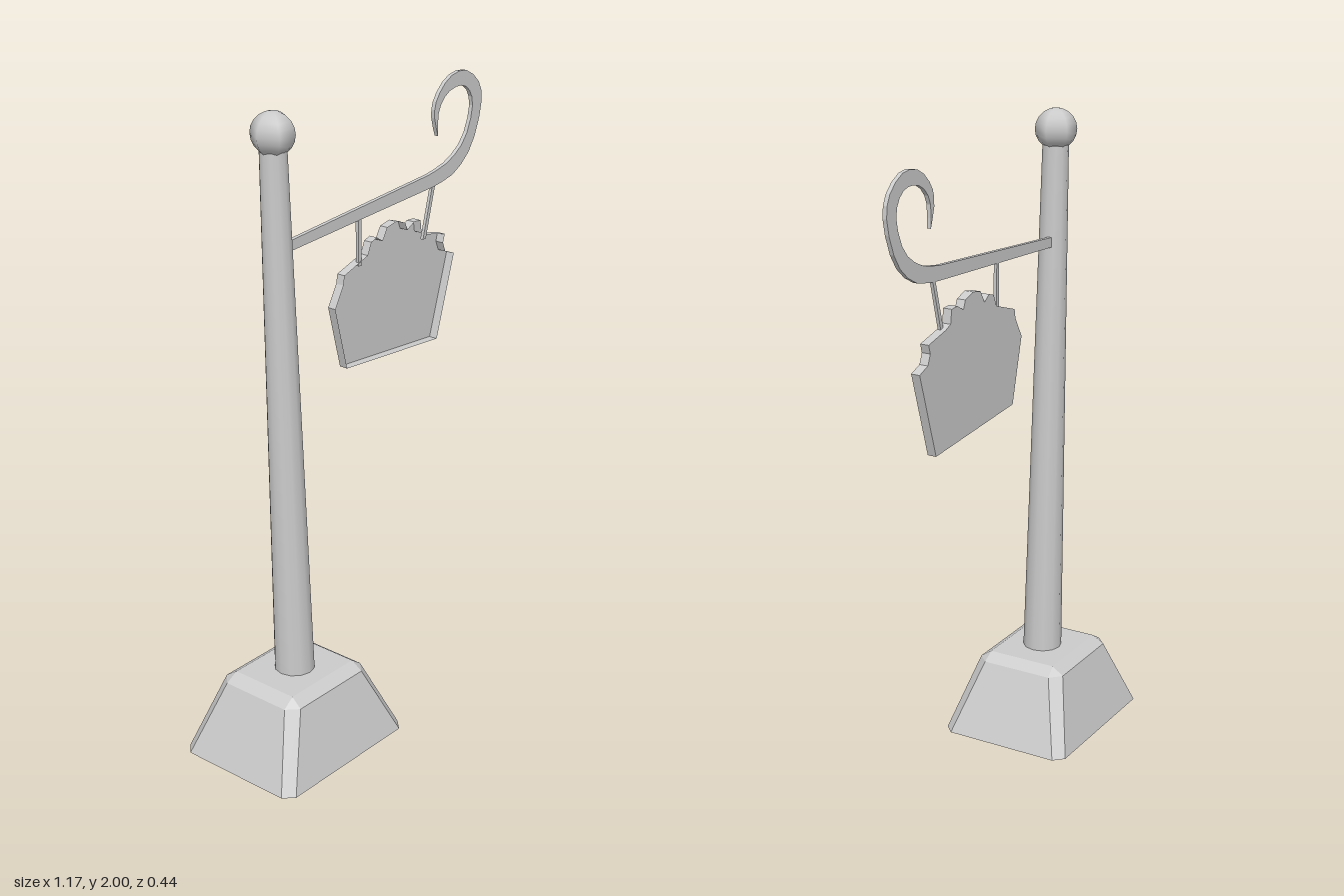
import * as THREE from 'three';

const smooth = new THREE.MeshStandardMaterial({ color: 0xcccccc });
const flat = new THREE.MeshStandardMaterial({ color: 0xcccccc, flatShading: true, side: THREE.DoubleSide });

// Joins closed rings of equal point count with quads; optionally caps the last ring.
function loft(rings, cap) {
  const out = [];
  const n = rings[0].length;
  const tri = (...points) => points.forEach((p) => out.push(...p));
  for (let r = 0; r < rings.length - 1; r++) {
    for (let i = 0; i < n; i++) {
      const j = (i + 1) % n;
      const a = rings[r][i], b = rings[r][j], c = rings[r + 1][j], d = rings[r + 1][i];
      tri(a, b, c);
      tri(a, c, d);
    }
  }
  const top = rings[rings.length - 1];
  if (cap) for (let i = 1; i < n - 1; i++) tri(top[0], top[i], top[i + 1]);
  const geometry = new THREE.BufferGeometry();
  geometry.setAttribute('position', new THREE.Float32BufferAttribute(out, 3));
  geometry.computeVertexNormals();
  return geometry;
}

// Rectangle with cut corners, counter-clockwise from above.
function cutRect(x0, x1, z, y, cut) {
  return [
    [x1, y, z - cut], [x1, y, -z + cut], [x1 - cut, y, -z], [x0 + cut, y, -z],
    [x0, y, -z + cut], [x0, y, z - cut], [x0 + cut, y, z], [x1 - cut, y, z],
  ];
}

const vectors = (list) => list.map(([x, y]) => new THREE.Vector2(x, y));

export function createModel() {
  const model = new THREE.Group();
  const add = (name, geometry, material, parent = model) => {
    const mesh = new THREE.Mesh(geometry, material);
    mesh.name = name;
    parent.add(mesh);
    return mesh;
  };
  const plate = (name, shape, z, depth, parent) => {
    const geometry = new THREE.ExtrudeGeometry(shape, { depth, bevelEnabled: false, curveSegments: 2 });
    add(name, geometry, flat, parent).position.z = z;
  };

  // Hollow tapered foot with cut corners
  add('base', loft([
    cutRect(-0.587, -0.04, 0.219, 0, 0.031),
    cutRect(-0.489, -0.14, 0.151, 0.23, 0.034),
    cutRect(-0.45, -0.175, 0.114, 0.255, 0),
  ], true), flat);

  // Leaning, tapering post: each height slides sideways
  const bottom = 0.245, top = 1.89;
  const post = new THREE.CylinderGeometry(0.04, 0.062, top - bottom, 12);
  post.translate(0, (top + bottom) / 2, 0);
  const p = post.attributes.position;
  for (let i = 0; i < p.count; i++) {
    p.setX(i, p.getX(i) - 0.311 - 0.055 * (p.getY(i) - bottom) / (top - bottom));
  }
  add('post', post, smooth);

  add('finial', new THREE.SphereGeometry(0.064, 6, 10), smooth).position.set(-0.367, 1.936, 0);

  // Flat arm ending in a tapering curl
  const arm = new THREE.Shape();
  arm.moveTo(-0.345, 1.612);
  arm.lineTo(-0.345, 1.582);
  arm.lineTo(0.347, 1.622);
  arm.splineThru(vectors([
    [0.452, 1.643], [0.537, 1.712], [0.582, 1.828], [0.569, 1.902], [0.5, 1.952],
    [0.42, 1.944], [0.362, 1.892], [0.349, 1.839], [0.368, 1.775],
  ]));
  arm.splineThru(vectors([
    [0.37, 1.849], [0.41, 1.897], [0.474, 1.91], [0.521, 1.886],
    [0.537, 1.828], [0.5, 1.738], [0.421, 1.685], [0.325, 1.664],
  ]));
  plate('arm', arm, -0.016, 0.013);

  const sign = new THREE.Group();
  sign.name = 'hangingSign';
  model.add(sign);

  // Two thin strips holding the board
  for (const [name, x0, y0, x1, y1] of [
    ['rightHanger', 0.006, 1.61, 0.008, 1.46],
    ['leftHanger', 0.357, 1.635, 0.312, 1.465],
  ]) {
    const w = 0.007;
    plate(name, new THREE.Shape(vectors([
      [x0 - w, y0], [x1 - w, y1], [x1 + w, y1], [x0 + w, y0],
    ])), -0.016, 0.01, sign);
  }

  // Board: scalloped back panel with a rim standing forward around it
  const outline = [
    [-0.108, 1.357], [-0.056, 1.156], [0.378, 1.122], [0.458, 1.384], [0.415, 1.4],
    [0.402, 1.431], [0.41, 1.458], [0.32, 1.479], [0.294, 1.49], [0.288, 1.532],
    [0.257, 1.534], [0.225, 1.516], [0.214, 1.542], [0.172, 1.556], [0.13, 1.548],
    [0.108, 1.511], [0.082, 1.529], [0.056, 1.521], [0.04, 1.484], [-0.066, 1.45],
    [-0.071, 1.421],
  ];
  const back = -0.031, front = -0.003;
  const panel = new THREE.ShapeGeometry(new THREE.Shape(vectors(outline)));
  add('boardPanel', panel, flat, sign).position.z = back;
  add('boardRim', loft([back, front].map((z) => outline.map(([x, y]) => [x, y, z])), false), flat, sign);

  return model;
}
